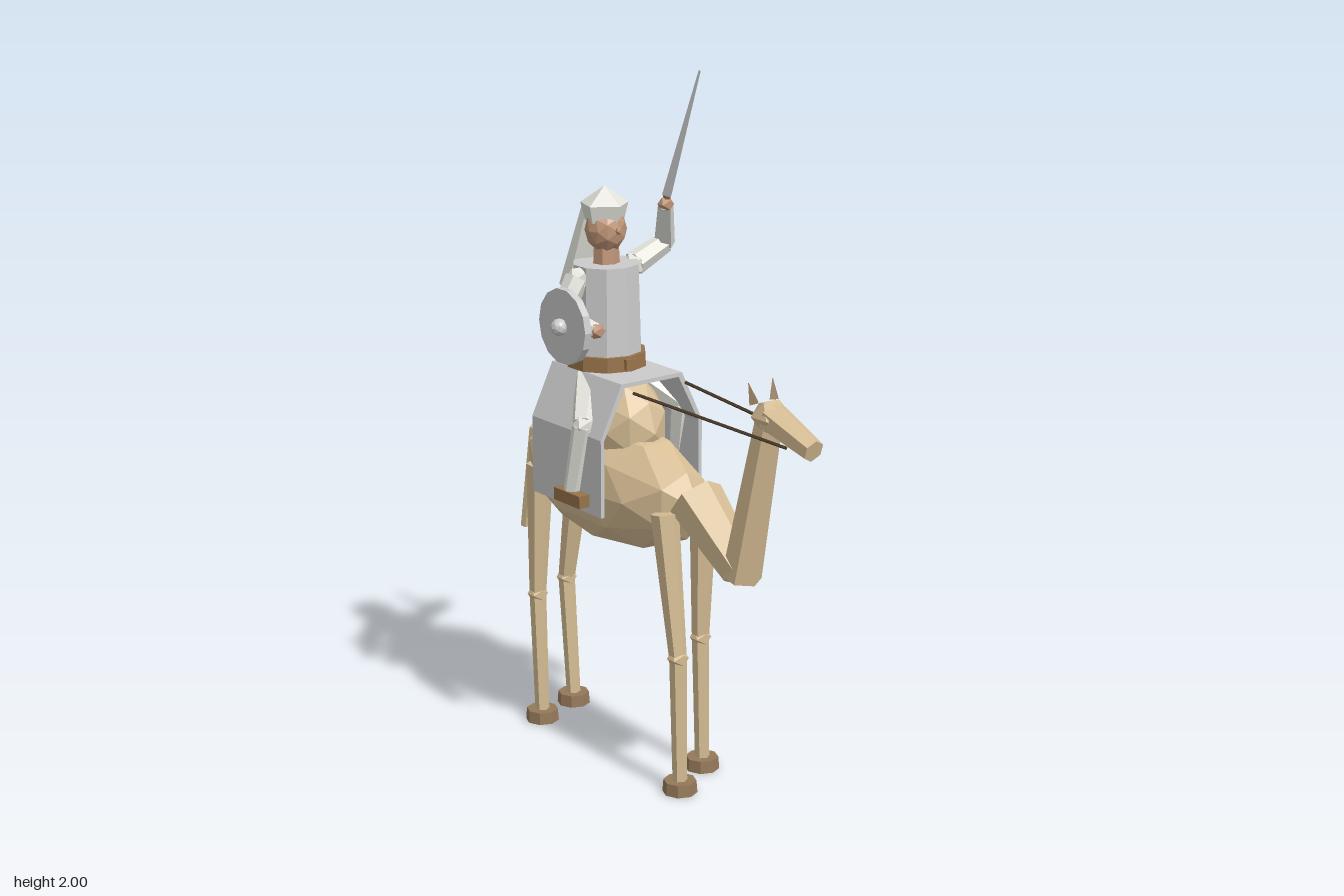
import * as THREE from 'three';

const mat = (color) => new THREE.MeshStandardMaterial({ color, flatShading: true });
const GREY = mat(0xcccccc), CLOTH = mat(0xe4e4dc), HIDE = mat(0xd8bf96), HOOF = mat(0x94795a);
const LEATHER = mat(0x98734a), SKIN = mat(0xc09678), DARK = mat(0x4a3a2a);
const V = (p) => new THREE.Vector3(...p);

export function createModel() {
  const root = new THREE.Group();
  root.name = 'camelRider';

  const add = (parent, name, geometry, material, pos = [0, 0, 0]) => {
    const m = new THREE.Mesh(geometry, material);
    m.name = name;
    m.position.set(...pos);
    parent.add(m);
    return m;
  };
  // Tapered prism from point a (radius ra) to point b (radius rb)
  const limb = (parent, name, a, b, ra, rb, material, sides = 6) => {
    const A = V(a), B = V(b), dir = B.clone().sub(A);
    const m = add(parent, name, new THREE.CylinderGeometry(rb, ra, dir.length(), sides), material);
    m.position.copy(A).add(B).multiplyScalar(0.5);
    m.quaternion.setFromUnitVectors(new THREE.Vector3(0, 1, 0), dir.normalize());
    return m;
  };
  // Faceted ellipsoid
  const blob = (parent, name, pos, radii, material, detail = 1) => {
    const m = add(parent, name, new THREE.IcosahedronGeometry(1, detail), material, pos);
    m.scale.set(...radii);
    return m;
  };

  const camel = new THREE.Group();
  camel.name = 'camel';
  const rider = new THREE.Group();
  rider.name = 'rider';
  root.add(camel, rider);
  root.position.x = -0.008;

  // Trunk and hump
  blob(camel, 'body', [0, 0.815, -0.2], [0.153, 0.185, 0.39], HIDE);
  blob(camel, 'hump', [0, 0.99, -0.2], [0.125, 0.16, 0.19], HIDE);

  // Neck in two bends, head, muzzle and ears
  limb(camel, 'lowerNeck', [0, 0.85, 0.17], [0, 0.69, 0.37], 0.08, 0.055, HIDE);
  limb(camel, 'upperNeck', [0, 0.675, 0.37], [0, 1.14, 0.475], 0.056, 0.038, HIDE);
  blob(camel, 'head', [0, 1.155, 0.485], [0.052, 0.05, 0.06], HIDE, 0);
  limb(camel, 'muzzle', [0, 1.155, 0.49], [0, 1.1, 0.655], 0.046, 0.032, HIDE);
  for (const s of [-1, 1]) {
    limb(camel, 'ear', [s * 0.035, 1.19, 0.455], [s * 0.042, 1.245, 0.44], 0.016, 0.001, HOOF, 4);
    limb(camel, 'rein', [s * 0.047, 1.105, 0.6], [s * 0.092, 1.13, 0.01], 0.005, 0.005, DARK, 4);
  }
  limb(camel, 'tail', [0, 0.88, -0.585], [0, 0.553, -0.65], 0.021, 0.014, HIDE, 5);

  // Four legs: side, hip z, knee z, foot z
  for (const [s, hip, knee, foot] of [
    [-1, 0.13, 0.19, 0.2], [1, 0.11, 0.1, 0.11], [-1, -0.46, -0.48, -0.465], [1, -0.47, -0.545, -0.515],
  ]) {
    const leg = new THREE.Group();
    leg.name = hip > 0 ? 'frontLeg' : 'hindLeg';
    camel.add(leg);
    const x = s * 0.077;
    limb(leg, 'upperLeg', [x, 0.81, hip], [x, 0.4, knee], 0.04, 0.025, HIDE);
    blob(leg, 'knee', [x, 0.4, knee], [0.031, 0.029, 0.031], HIDE, 0);
    limb(leg, 'lowerLeg', [x, 0.4, knee], [x, 0.03, foot], 0.025, 0.021, HIDE);
    add(leg, 'foot', new THREE.CylinderGeometry(0.047, 0.05, 0.036, 8), HOOF, [x, 0.018, foot]);
  }

  // Saddle blanket: bent sheet, flat on top with hanging sides
  const edge = [[0.18, 0.775], [0.18, 1.0], [0.107, 1.15]];
  const inner = [[0.095, 1.138], [0.168, 0.997], [0.168, 0.775]];
  const flip = (list) => list.map(([x, y]) => [-x, y]).reverse();
  const outline = [...edge, ...flip(edge), ...flip(inner), ...inner];
  const sheet = new THREE.Shape(outline.map(([x, y]) => new THREE.Vector2(x, y)));
  add(camel, 'saddleBlanket',
    new THREE.ExtrudeGeometry(sheet, { depth: 0.325, bevelEnabled: false }), GREY, [0, 0, -0.35]);

  // Rider trunk
  const Z = -0.235;
  blob(rider, 'pelvis', [0, 1.135, Z - 0.01], [0.105, 0.06, 0.115], GREY);
  add(rider, 'tunic', new THREE.CylinderGeometry(0.096, 0.103, 0.26, 10), GREY, [0, 1.314, Z]);
  add(rider, 'belt', new THREE.CylinderGeometry(0.115, 0.117, 0.042, 10), LEATHER, [0, 1.171, Z]);
  add(rider, 'buckle', new THREE.BoxGeometry(0.04, 0.03, 0.015), LEATHER, [0, 1.171, Z + 0.113]);

  // Head, headdress and hanging veil
  add(rider, 'neck', new THREE.CylinderGeometry(0.036, 0.04, 0.08, 7), SKIN, [0, 1.47, Z]);
  blob(rider, 'face', [0, 1.54, Z], [0.06, 0.068, 0.06], SKIN);
  blob(rider, 'nose', [0, 1.543, Z + 0.06], [0.01, 0.012, 0.012], SKIN, 0);
  const dome = [[0.058, 1.562], [0.071, 1.612], [0.001, 1.662]].map((p) => new THREE.Vector2(...p));
  add(rider, 'headdress', new THREE.LatheGeometry(dome, 5), CLOTH, [0, 0, Z - 0.005])
    .material = Object.assign(CLOTH.clone(), { side: THREE.DoubleSide });
  const veil = limb(rider, 'veil', [0, 1.595, -0.295], [0, 1.355, -0.37], 0.036, 0.06, CLOTH, 6);
  veil.scale.z = 0.65;

  // Riding legs
  for (const s of [-1, 1]) {
    const hip = [s * 0.075, 1.125, -0.215], knee = [s * 0.175, 1.025, -0.11], ankle = [s * 0.188, 0.82, -0.15];
    limb(rider, 'thigh', hip, knee, 0.045, 0.034, CLOTH);
    blob(rider, 'kneeJoint', knee, [0.034, 0.034, 0.034], CLOTH, 0);
    limb(rider, 'shin', knee, ankle, 0.034, 0.026, CLOTH);
    add(rider, 'shoe', new THREE.BoxGeometry(0.05, 0.036, 0.12), LEATHER, [s * 0.19, 0.813, -0.14]);
  }

  // Arms: shoulder, elbow, hand
  const arm = (name, shoulder, elbow, hand) => {
    const g = new THREE.Group();
    g.name = name;
    rider.add(g);
    blob(g, 'shoulder', shoulder, [0.037, 0.037, 0.037], CLOTH, 0);
    limb(g, 'upperArm', shoulder, elbow, 0.036, 0.03, CLOTH);
    blob(g, 'elbow', elbow, [0.031, 0.031, 0.031], CLOTH, 0);
    limb(g, 'forearm', elbow, hand, 0.03, 0.022, CLOTH);
    blob(g, 'hand', hand, [0.024, 0.024, 0.024], SKIN, 0);
    return g;
  };
  const shieldArm = arm('shieldArm', [-0.1, 1.41, Z], [-0.162, 1.315, -0.235], [-0.13, 1.29, -0.105]);
  const swordArm = arm('swordArm', [0.1, 1.425, Z], [0.222, 1.468, -0.25], [0.163, 1.6, -0.17]);

  // Round shield with boss, facing sideways
  const shield = add(shieldArm, 'shield', new THREE.CylinderGeometry(0.108, 0.108, 0.022, 14), GREY, [-0.197, 1.303, -0.163]);
  shield.rotation.z = Math.PI / 2;
  blob(shieldArm, 'shieldBoss', [-0.217, 1.303, -0.163], [0.025, 0.025, 0.025], GREY);

  // Raised sword
  limb(swordArm, 'grip', [0.169, 1.575, -0.182], [0.161, 1.64, -0.158], 0.011, 0.011, LEATHER);
  limb(swordArm, 'blade', [0.162, 1.63, -0.163], [0.142, 2.0, 0.005], 0.018, 0.004, GREY, 4);

  return root;
}
